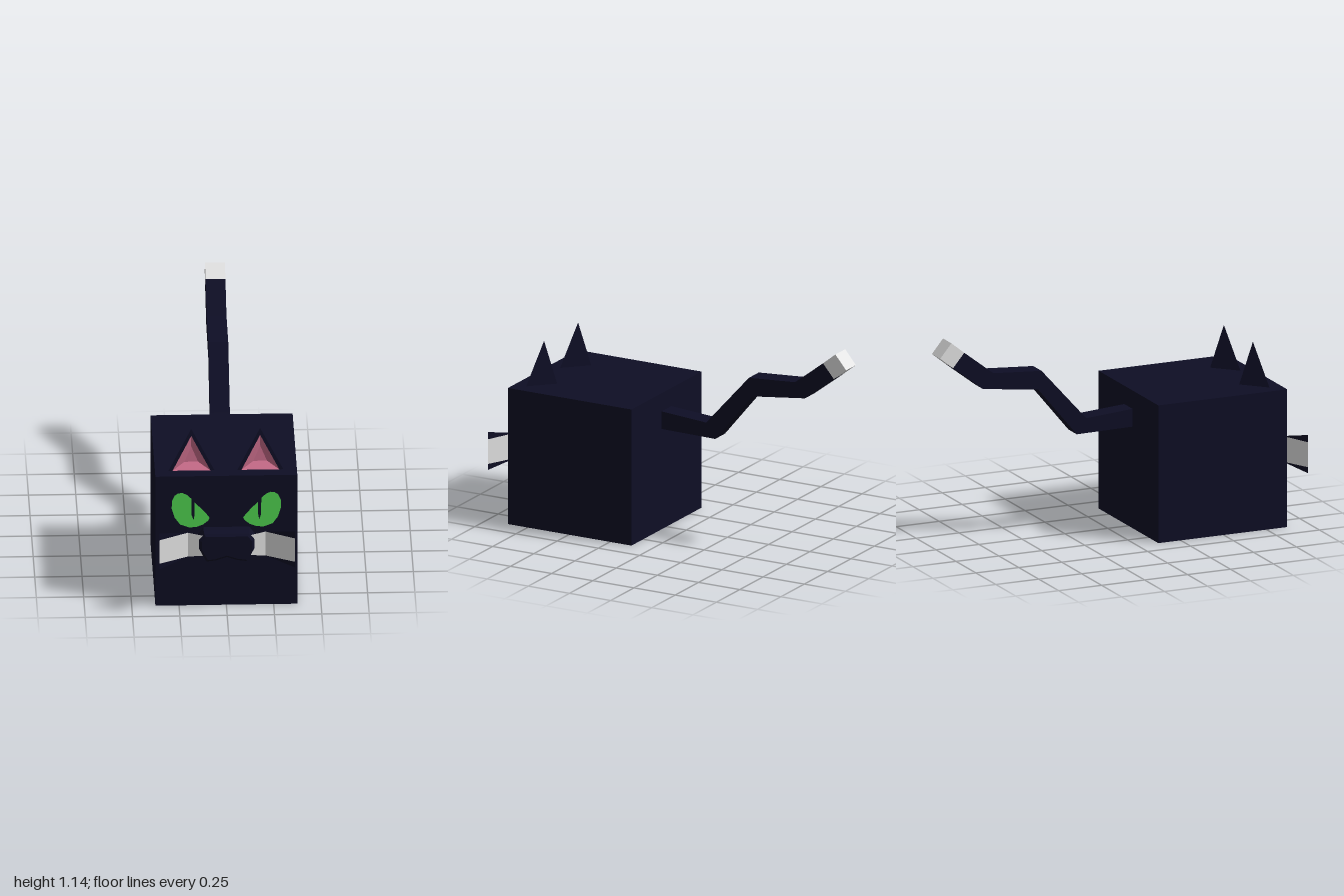
import * as THREE from 'three';

const mat = (name, color, side = THREE.FrontSide) => {
  const m = new THREE.MeshStandardMaterial({ color, side });
  m.name = name;
  return m;
};

// Flat-faceted geometry from polygons (triangles or quads, counter-clockwise)
function facets(polys) {
  const pos = [];
  for (const p of polys)
    for (let i = 1; i < p.length - 1; i++) pos.push(...p[0], ...p[i], ...p[i + 1]);
  const g = new THREE.BufferGeometry();
  g.setAttribute('position', new THREE.Float32BufferAttribute(pos, 3));
  g.computeVertexNormals();
  return g;
}

const shapeOf = (pts) => new THREE.Shape(pts.map(([x, y]) => new THREE.Vector2(x, y)));

export function createModel() {
  const root = new THREE.Group();
  const black = mat('midnightFur', 0x0e0e25, THREE.DoubleSide);
  const white = mat('whiteFur', 0xe6e6e6, THREE.DoubleSide);
  const green = mat('eyeGreen', 0x54dc54);
  const pink = mat('earPink', 0xca6d8b);

  const add = (name, geometry, material, parent = root) => {
    const mesh = new THREE.Mesh(geometry, material);
    mesh.name = name;
    parent.add(mesh);
    return mesh;
  };

  // Cube body
  add('body', new THREE.BoxGeometry(0.75, 0.755, 0.75), black).position.set(0, 0.3775, 0.495);

  // Bent tail: side outline in (z, y), extruded across x
  const strip = (pts) => {
    const g = new THREE.ExtrudeGeometry(shapeOf(pts.map(([z, y]) => [-z, y])),
      { depth: 0.105, bevelEnabled: false });
    return g.rotateY(Math.PI / 2).translate(-0.0525, 0, 0);
  };
  add('tail', strip([
    [0.13, 0.655], [-0.15, 0.635], [-0.41, 0.925], [-0.69, 0.945], [-0.86, 1.077],
    [-0.925, 1.0], [-0.75, 0.865], [-0.43, 0.825], [-0.205, 0.553], [0.13, 0.557],
  ]), black);
  add('tailTip', strip([[-0.86, 1.077], [-0.935, 1.138], [-1.0, 1.06], [-0.925, 1.0]]), white);

  // Ears: three-sided pyramids with a hollow pink front
  const L = [-0.122, 0.755, 0.8], R = [0.122, 0.755, 0.8], A = [0, 0.98, 0.76], B = [0, 0.755, 0.68];
  const pL = [-0.1, 0.755, 0.8], pR = [0.1, 0.755, 0.8], pA = [0, 0.942, 0.767];
  const qL = [-0.036, 0.79, 0.765], qR = [0.036, 0.79, 0.765], qA = [0, 0.875, 0.755];
  const earShell = facets([[L, pL, pA], [L, pA, A], [R, A, pA], [R, pA, pR], [L, A, B], [R, B, A]]);
  const earHollow = facets([[pL, pR, qR, qL], [pR, pA, qA, qR], [pA, pL, qL, qA], [qL, qR, qA]]);

  // Almond eye with a notched slit pupil
  const eye = [
    [0.297, 0.57], [0.295, 0.615], [0.28, 0.645], [0.262, 0.657], [0.24, 0.66], [0.215, 0.65],
    [0.188, 0.625], [0.187, 0.53], [0.176, 0.5], [0.171, 0.53], [0.17, 0.602], [0.14, 0.573],
    [0.105, 0.535], [0.088, 0.512], [0.095, 0.497], [0.125, 0.473], [0.16, 0.46], [0.2, 0.457],
    [0.25, 0.475], [0.28, 0.515],
  ];

  for (const s of [-1, 1]) {
    const side = s > 0 ? 'left' : 'right';

    const ear = new THREE.Group();
    ear.name = side + 'Ear';
    ear.position.x = s * 0.182;
    add('earShell', earShell, black, ear);
    add('innerEar', earHollow, pink, ear);
    root.add(ear);

    const eyePlate = new THREE.ShapeGeometry(shapeOf(eye.map(([x, y]) => [s * x * 0.96 + s * 0.004, y])));
    add(side + 'Eye', eyePlate, green).position.z = 0.874;

    // Folded whisker plate: white band with dark flared edges
    const col = (x, z, ...ys) => ys.map((y) => [s * x, y, z]);
    const [a0, a1] = col(0.11, 0.945, 0.325, 0.438);
    const [b0, b1] = col(0.205, 0.922, 0.31, 0.45);
    const [c0, c1, cLow, cHigh] = col(0.358, 1.0, 0.308, 0.445, 0.275, 0.485);
    const quads = (list) => facets(s > 0 ? list : list.map((p) => [...p].reverse()));
    const whisker = new THREE.Group();
    whisker.name = side + 'Whiskers';
    add('whiskerBand', quads([[a0, b0, b1, a1], [b0, c0, c1, b1]]), white, whisker);
    add('whiskerEdges', quads([[b0, cLow, c0], [b1, c1, cHigh]]), black, whisker);
    root.add(whisker);
  }

  // Two-lobed muzzle with chamfered front
  const muzzle = new THREE.ExtrudeGeometry(shapeOf([
    [-0.112, 0.438], [0.112, 0.438], [0.132, 0.41], [0.132, 0.365], [0.115, 0.33], [0.1, 0.303],
    [0.06, 0.308], [0, 0.328], [-0.06, 0.308], [-0.1, 0.303], [-0.115, 0.33], [-0.132, 0.365], [-0.132, 0.41],
  ]), { depth: 0.05, bevelThickness: 0.04, bevelSize: 0.018, bevelSegments: 2 });
  add('muzzle', muzzle, black).position.z = 0.865;

  return root;
}
